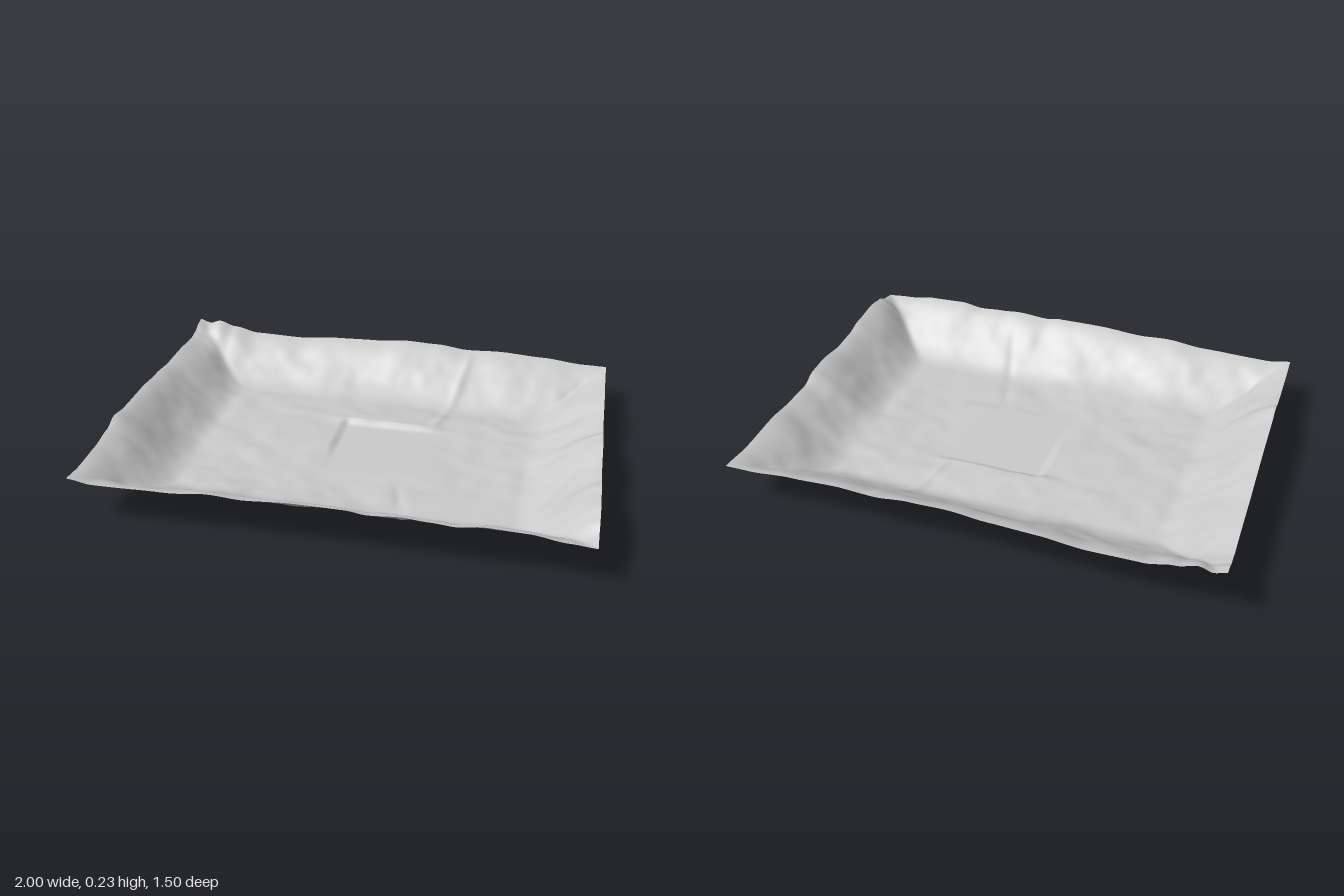
import * as THREE from 'three';

const HX = 1, HZ = 0.75, SLOPE = 0.32;
const smooth = THREE.MathUtils.smoothstep;
const lerp = THREE.MathUtils.lerp;

// Rim heights along each side, as [position, height]
const rims = {
  front: [[-1, .19], [-.9, .175], [-.6, .18], [-.43, .195], [-.3, .188], [-.1, .2], [.1, .198], [.17, .188], [.3, .197], [.4, .19], [.5, .183], [.6, .197], [.75, .192], [.9, .172], [1, .165]],
  back: [[-1, .235], [-.95, .22], [-.9, .235], [-.82, .212], [-.7, .188], [-.5, .183], [-.3, .198], [-.12, .203], [.05, .215], [.2, .21], [.35, .195], [.5, .2], [.7, .19], [.9, .172], [1, .17]],
  right: [[-.75, .17], [-.6, .16], [-.4, .17], [-.25, .16], [-.13, .16], [-.04, .19], [.05, .195], [.2, .18], [.3, .185], [.4, .205], [.55, .215], [.62, .205], [.7, .175], [.75, .165]],
  left: [[-.75, .235], [-.71, .228], [-.66, .205], [-.6, .195], [-.45, .203], [-.3, .2], [-.15, .212], [0, .22], [.2, .218], [.3, .23], [.38, .205], [.5, .19], [.65, .183], [.75, .19]],
};

function rimHeight(points, t) {
  for (let i = 1; i < points.length; i++) {
    const [a, ya] = points[i - 1], [b, yb] = points[i];
    if (t <= b) return lerp(ya, yb, smooth(t, a, b));
  }
  return points[points.length - 1][1];
}

// Seeded smooth value noise in -1..1
function hash(i, j) {
  const s = Math.sin(i * 127.1 + j * 311.7 + 5.3) * 43758.5453;
  return (s - Math.floor(s)) * 2 - 1;
}
function noise(x, z) {
  const i = Math.floor(x), j = Math.floor(z);
  const u = smooth(x - i, 0, 1), v = smooth(z - j, 0, 1);
  return lerp(lerp(hash(i, j), hash(i + 1, j), u), lerp(hash(i, j + 1), hash(i + 1, j + 1), u), v);
}

// Shallow raised line from a to b
function crease(x, z, ax, az, bx, bz, height) {
  const dx = bx - ax, dz = bz - az, len = Math.hypot(dx, dz);
  const along = ((x - ax) * dx + (z - az) * dz) / (len * len);
  const across = ((x - ax) * dz - (z - az) * dx) / len;
  const ends = smooth(along, -.05, .1) * (1 - smooth(along, .85, 1.02));
  return height * ends * Math.exp(-((across / .02) ** 2));
}

// Floor: high on the left, lowest at the front right, with a level sunken pad
function floorHeight(x, z) {
  let y = .005 + .02 * (1 - smooth(x, -.55, .3)) + .009 * (1 - smooth(z, -.1, .25));
  const calm = smooth(x, .2, .35) * smooth(z, .15, .3);
  y += (.006 * noise(x * 6, z * 9) + .003 * noise(x * 14 + 7, z * 18)) * (1 - .8 * calm);
  // Bank behind the pad
  y += .014 * smooth(-z, .2, .24) * (1 - smooth(-z, .25, .5)) * smooth(x, -.3, -.12) * (1 - smooth(x, .2, .36));
  const pad = smooth(x, -.15, -.125) * (1 - smooth(x, .25, .45))
    * smooth(z, -.24, -.215) * (1 - smooth(z, .17, .26));
  return lerp(y, .014, pad);
}

function surfaceHeight(x, z) {
  // Each side counts more the nearer it is, which mitres the corners
  const sides = [
    [HZ - z, rimHeight(rims.front, x)], [HZ + z, rimHeight(rims.back, x)],
    [HX - x, rimHeight(rims.right, z)], [HX + x, rimHeight(rims.left, z)],
  ];
  let sum = 0, total = 0, d = Infinity;
  for (const [dist, h] of sides) {
    const w = 1 / (Math.max(dist, 0) + .002) ** 3;
    sum += h * w;
    total += w;
    d = Math.min(d, Math.max(dist, 0));
  }
  const rise = 1 - smooth(d, -.03, SLOPE);
  const wall = 4 * rise * (1 - rise);
  let y = lerp(floorHeight(x, z), sum / total, Math.min(1, rise / (1 - smooth(0, -.03, SLOPE))));
  y += wall * (.007 * noise(x * 9 + 3, z * 9 + 1) + .003 * noise(x * 19, z * 19));
  y += crease(x, z, .26, -.24, .37, -.74, .007) - crease(x, z, .19, .24, .31, .68, .006);
  return Math.max(0, y);
}

export function createModel() {
  const group = new THREE.Group();
  group.name = 'crumpledTray';

  const lightGrey = new THREE.MeshStandardMaterial({ color: 0xcccccc, side: THREE.DoubleSide });
  lightGrey.name = 'lightGrey';

  // One thin sheet shaped by the height rule
  const geometry = new THREE.PlaneGeometry(2 * HX, 2 * HZ, 160, 120).rotateX(-Math.PI / 2);
  const p = geometry.attributes.position;
  let lowest = Infinity;
  for (let i = 0; i < p.count; i++) {
    const y = surfaceHeight(p.getX(i), p.getZ(i));
    p.setY(i, y);
    lowest = Math.min(lowest, y);
  }
  geometry.translate(0, -lowest, 0);
  geometry.computeVertexNormals();

  const sheet = new THREE.Mesh(geometry, lightGrey);
  sheet.name = 'traySheet';
  group.add(sheet);
  return group;
}
